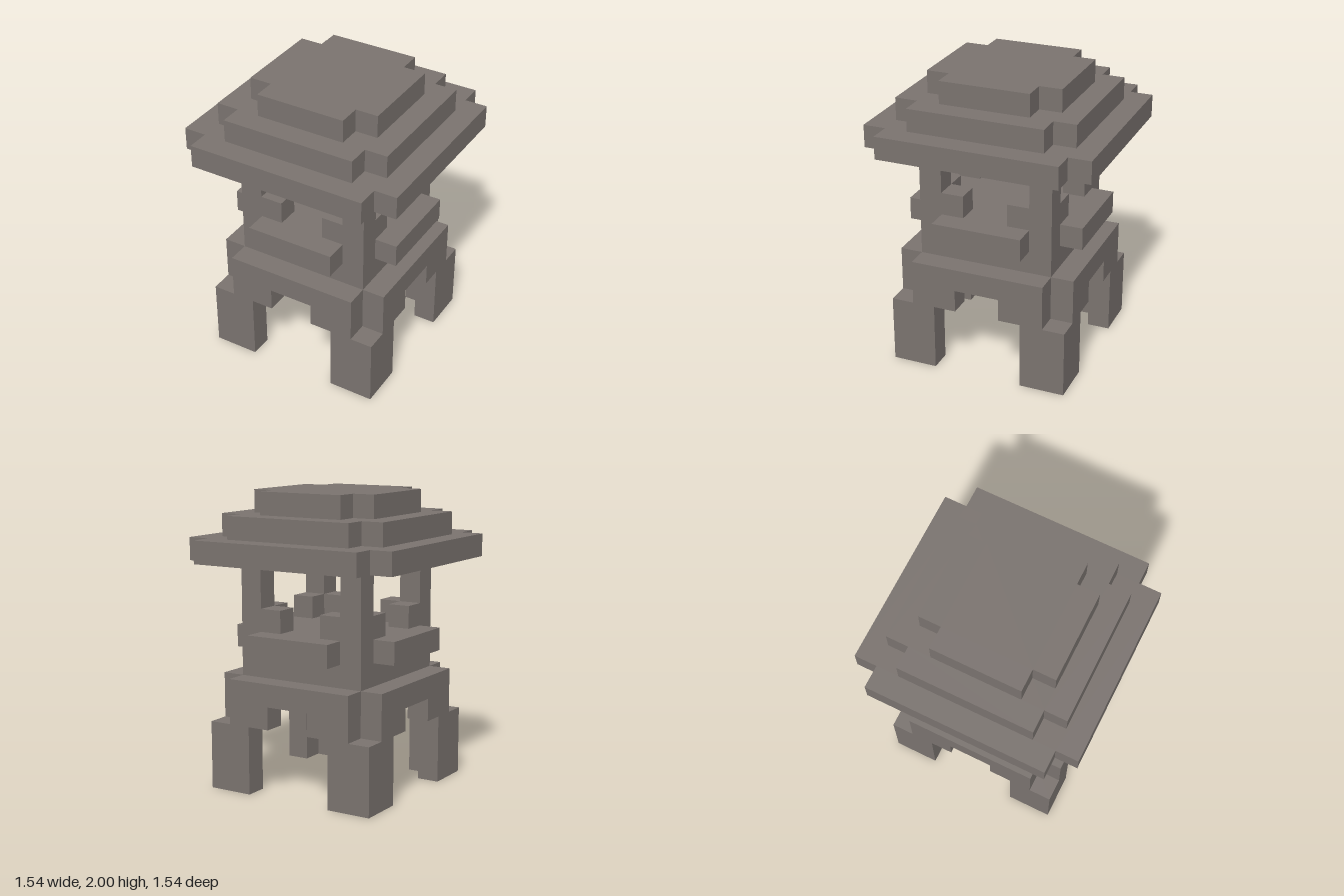
import * as THREE from 'three';

const U = 2 / 13; // one block

export function createModel() {
  const model = new THREE.Group();
  model.name = 'stoneLantern';
  const stone = new THREE.MeshStandardMaterial({ color: 0x7a736f });
  stone.name = 'stone';

  const add = (parent, name, geometry) => {
    const mesh = new THREE.Mesh(geometry, stone);
    mesh.name = name;
    parent.add(mesh);
    return mesh;
  };

  // Box from block ranges
  const block = (parent, name, [x0, x1], [y0, y1], [z0, z1]) => {
    const g = new THREE.BoxGeometry((x1 - x0) * U, (y1 - y0) * U, (z1 - z0) * U);
    g.translate((x0 + x1) * U / 2, (y0 + y1) * U / 2, (z0 + z1) * U / 2);
    return add(parent, name, g);
  };

  // Upright prism from a plan outline of [x, z] block corners
  const prism = (parent, name, outline, y0, y1) => {
    const shape = new THREE.Shape(outline.map(([x, z]) => new THREE.Vector2(x * U, -z * U)));
    const g = new THREE.ExtrudeGeometry(shape, { depth: (y1 - y0) * U, bevelEnabled: false });
    g.rotateX(-Math.PI / 2);
    g.translate(0, y0 * U, 0);
    return add(parent, name, g);
  };

  // Square plan with one block missing at each corner
  const notched = (r) => {
    const i = r - 1;
    return [[i, r], [i, i], [r, i], [r, -i], [i, -i], [i, -r],
      [-i, -r], [-i, -i], [-r, -i], [-r, i], [-i, i], [-i, r]];
  };

  // L-shaped plan, open towards the centre
  const ell = (a, b, c) => [[c, c], [c, a], [b, a], [b, b], [a, b], [a, c]];

  // Base slab and solid body
  prism(model, 'baseSlab', notched(4), 4, 5);
  block(model, 'body', [-3, 3], [5, 7], [-3, 3]);

  // Stepped roof
  prism(model, 'roofEave', notched(5), 10, 11);
  prism(model, 'roofMiddle', notched(4), 11, 12);
  prism(model, 'roofTop', notched(3), 12, 13);

  // Four identical corners and sides
  for (let i = 0; i < 4; i++) {
    const quarter = new THREE.Group();
    quarter.name = 'quarter' + (i + 1);
    quarter.rotation.y = i * Math.PI / 2;
    model.add(quarter);

    prism(quarter, 'leg', ell(2, 3, 4), 0, 3);
    block(quarter, 'legBracketFront', [1, 3], [3, 4], [3, 4]);
    block(quarter, 'legBracketSide', [3, 4], [3, 4], [1, 3]);
    prism(quarter, 'postFoot', ell(1, 2, 3), 7, 8);
    block(quarter, 'post', [2, 3], [8, 10], [2, 3]);
    block(quarter, 'ledge', [-2, 2], [6, 7], [3, 4]);
  }
  return model;
}
